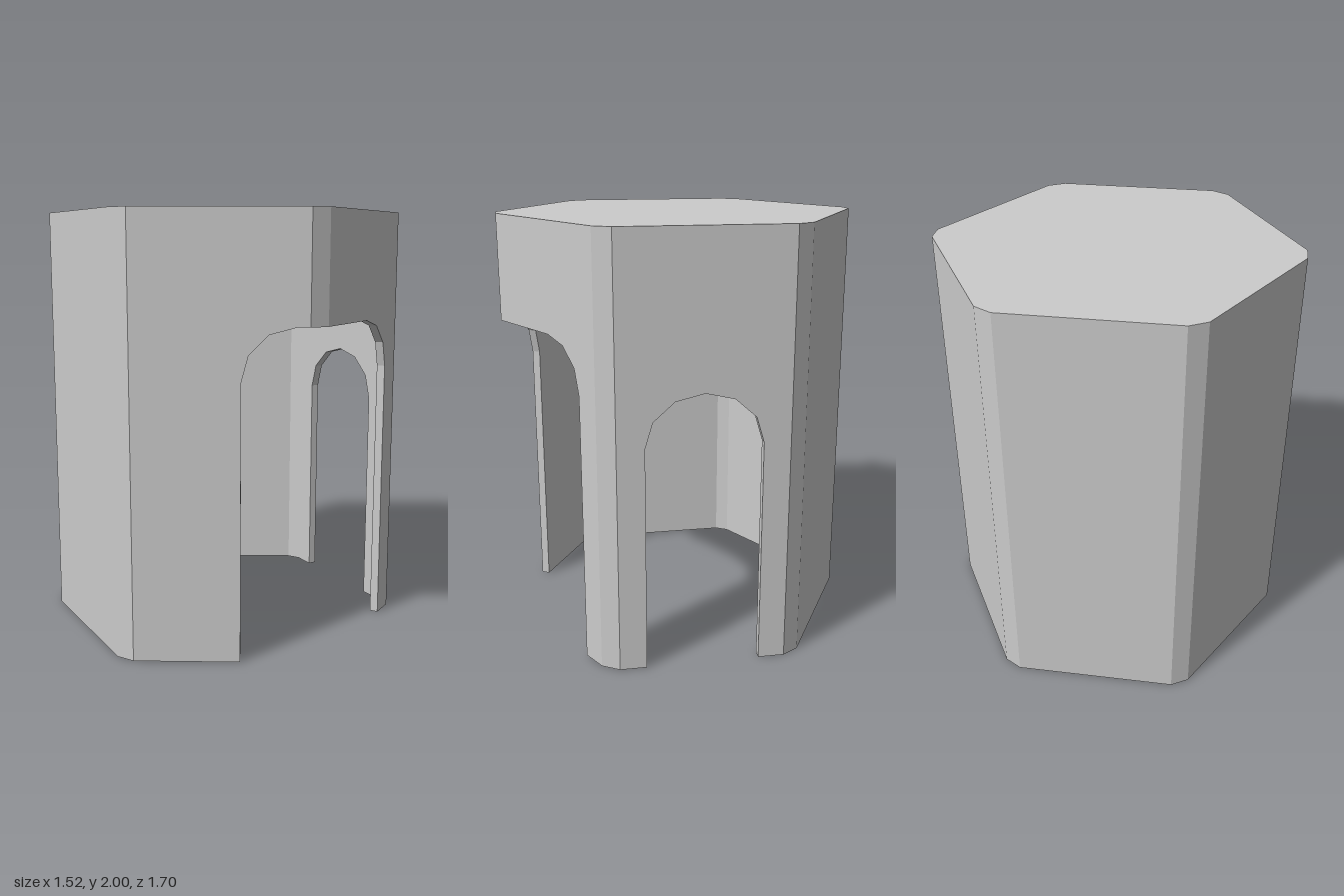
import * as THREE from 'three';

const ROOF_BOTTOM = 1.76, ROOF_TOP = 2, CEILING = 1.64, WALL = 0.04;

// Hexagon with clipped corners, as [x, z], running from the front towards the left (+x)
const quarter = [[0.045, 0.85], [0.715, 0.465], [0.76, 0.385]];
const half = [...quarter, ...quarter.map(([x, z]) => [x, -z]).reverse()];
const outline = [...half, ...half.map(([x, z]) => [-x, -z])].map(([x, z]) => new THREE.Vector2(x, z));
const N = outline.length;

const corner = (i) => outline[(i + N) % N];
const edgeNormal = (i) => {
  const d = corner(i + 1).clone().sub(corner(i)).normalize();
  return new THREE.Vector2(-d.y, d.x);
};
// Inner side of a corner, mitred by the wall thickness
const innerCorner = (i) => {
  const a = edgeNormal(i - 1), b = edgeNormal(i);
  return corner(i).clone().addScaledVector(a.clone().add(b), -WALL / (1 + a.dot(b)));
};

// Points [distance along the edge, height] of an arch between two angles, in 30 degree steps
function arc(centre, base, rx, ry, from, to) {
  const points = [];
  const steps = Math.abs(to - from) / 30;
  for (let k = 0; k <= steps; k++) {
    const a = THREE.MathUtils.degToRad(from + (to - from) * k / steps);
    points.push([centre + rx * Math.cos(a), base + ry * Math.sin(a)]);
  }
  return points;
}

// Lower rim of the wall: wide doorway around one corner, narrow arch on the back
const R = 0.235;
const rims = {
  0: [[0.48, 0], ...arc(0.48 + R, 1.265, R, R, 180, 90)],
  2: [...arc(0.648 - R, 1.265, R, R, 90, 0), [0.648, 0]],
  4: [[0.125, 0], ...arc(0.3875, 1.06, 0.2625, R, 180, 0), [0.65, 0]],
};
const cornerHeight = { 1: 1.5, 2: 1.5 };

function wallGeometry() {
  // Stations round the wall: outer point, inner point, lower height
  const stations = [];
  for (let i = 0; i < N; i++) {
    stations.push({ o: corner(i), i: innerCorner(i), y: cornerHeight[i] ?? 0 });
    const n = edgeNormal(i);
    const d = corner(i + 1).clone().sub(corner(i)).normalize();
    for (const [s, y] of rims[i] ?? []) {
      const o = corner(i).clone().addScaledVector(d, s);
      stations.push({ o, i: o.clone().addScaledVector(n, -WALL), y });
    }
  }
  const pos = [];
  const quad = (a, b, c, d) => [a, b, c, a, c, d].forEach((p) => pos.push(...p));
  const at = (p, y) => [p.x, y, p.y];
  stations.forEach((a, k) => {
    const b = stations[(k + 1) % stations.length];
    if (a.o.distanceTo(b.o) > 1e-5) {
      quad(at(a.o, a.y), at(b.o, b.y), at(b.o, ROOF_BOTTOM), at(a.o, ROOF_BOTTOM));
      quad(at(b.i, b.y), at(a.i, a.y), at(a.i, ROOF_BOTTOM), at(b.i, ROOF_BOTTOM));
    }
    quad(at(a.i, a.y), at(b.i, b.y), at(b.o, b.y), at(a.o, a.y));
  });
  const geometry = new THREE.BufferGeometry();
  geometry.setAttribute('position', new THREE.Float32BufferAttribute(pos, 3));
  geometry.computeVertexNormals();
  return geometry;
}

// Flat slab over a plan outline
function slabGeometry(points, y0, y1) {
  const shape = new THREE.Shape(points.map((p) => new THREE.Vector2(p.x, -p.y)));
  return new THREE.ExtrudeGeometry(shape, { depth: y1 - y0, bevelEnabled: false })
    .rotateX(-Math.PI / 2).translate(0, y0, 0);
}

export function createModel() {
  const group = new THREE.Group();
  group.name = 'hexagonalShelter';
  const material = new THREE.MeshStandardMaterial({ color: 0xcccccc, flatShading: true });
  const add = (name, geometry) => {
    const mesh = new THREE.Mesh(geometry, material);
    mesh.name = name;
    group.add(mesh);
  };
  add('wall', wallGeometry());
  add('roof', slabGeometry(outline, ROOF_BOTTOM, ROOF_TOP));
  add('ceiling', slabGeometry(outline.map((_, i) => innerCorner(i)), CEILING, ROOF_BOTTOM));
  return group;
}
